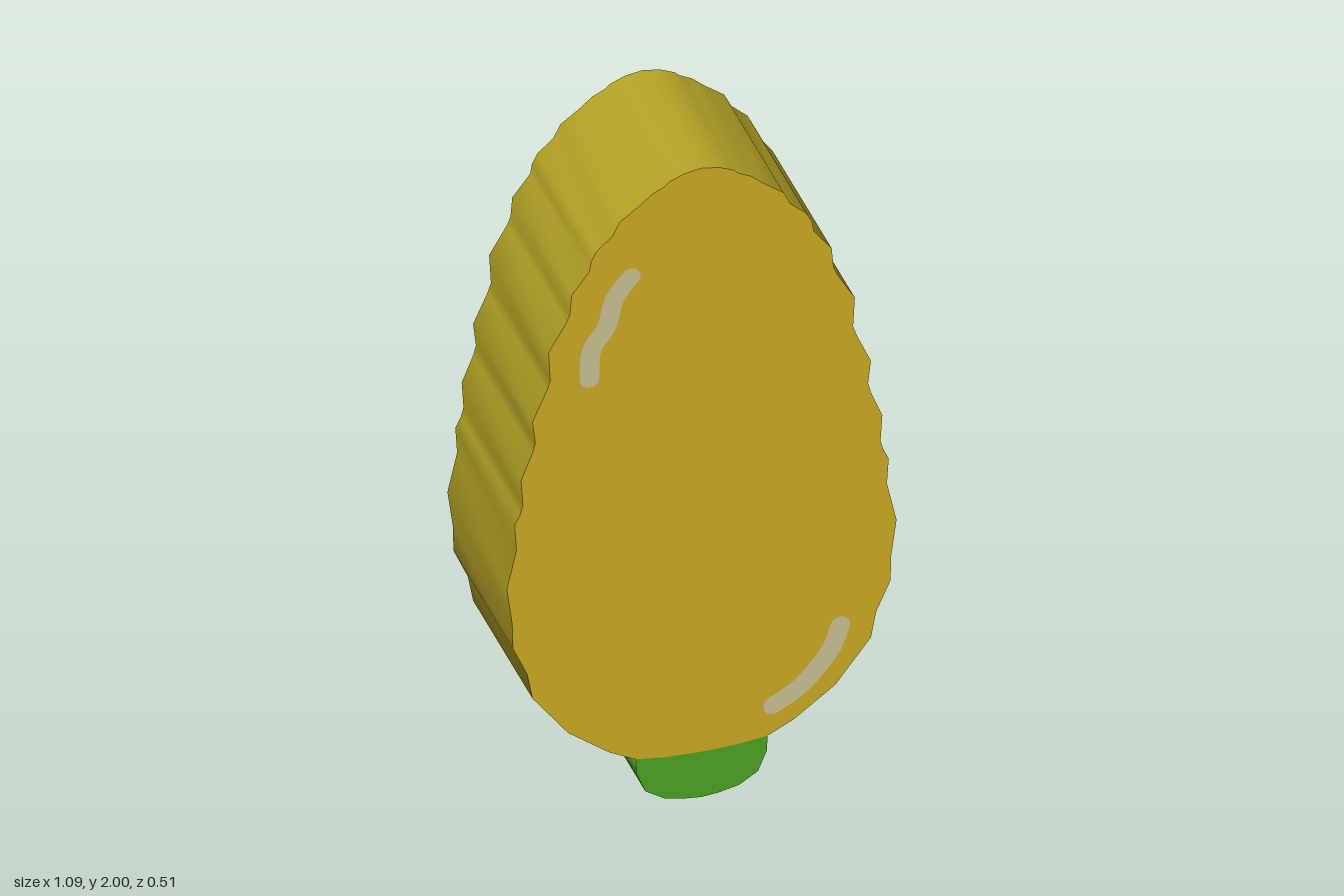
import * as THREE from 'three';

const HALF = 0.252; // half of the slab depth

const mat = (name, color) => {
  const m = new THREE.MeshStandardMaterial({ color });
  m.name = name;
  return m;
};

// Closed outline from a right half: down the right side, back up the left
function mirrorOutline(half) {
  const left = half.filter(([x]) => x > 0).reverse().map(([x, y]) => [-x, y]);
  return [...half, ...left].reverse().map(([x, y]) => new THREE.Vector2(x, y)); // counter-clockwise
}

// Smooth-shaded band running round a counter-clockwise outline
function wallGeometry(points) {
  const pos = [], index = [], n = points.length;
  points.forEach((p) => pos.push(p.x, p.y, HALF, p.x, p.y, -HALF));
  for (let i = 0; i < n; i++) {
    const a = 2 * i, b = 2 * ((i + 1) % n);
    index.push(a, a + 1, b, b, a + 1, b + 1);
  }
  const g = new THREE.BufferGeometry();
  g.setAttribute('position', new THREE.Float32BufferAttribute(pos, 3));
  g.setIndex(index);
  g.computeVertexNormals();
  return g;
}

// Round-ended brush stroke following a curve
function strokeShape(path, r) {
  const curve = new THREE.SplineCurve(path.map(([x, y]) => new THREE.Vector2(x, y)));
  const N = 16, left = [], right = [];
  for (let i = 0; i <= N; i++) {
    const p = curve.getPoint(i / N), t = curve.getTangent(i / N);
    left.push(new THREE.Vector2(p.x - t.y * r, p.y + t.x * r));
    right.push(new THREE.Vector2(p.x + t.y * r, p.y - t.x * r));
  }
  const cap = (u, start) => {
    const p = curve.getPoint(u), t = curve.getTangent(u);
    const a0 = Math.atan2(t.y, t.x) + start, out = [];
    for (let k = 1; k < 8; k++) {
      const a = a0 + (Math.PI * k) / 8;
      out.push(new THREE.Vector2(p.x + r * Math.cos(a), p.y + r * Math.sin(a)));
    }
    return out;
  };
  return new THREE.Shape([...right, ...cap(1, -Math.PI / 2), ...left.reverse(), ...cap(0, Math.PI / 2)]);
}

export function createModel() {
  const model = new THREE.Group();
  const yellow = mat('golden yellow', 0xc9ab22);
  const olive = mat('olive yellow', 0xb8a726);
  const green = mat('leaf green', 0x4aa422);
  const shine = mat('pale shine', 0xcac196);

  const add = (parent, name, geometry, material) => {
    const mesh = new THREE.Mesh(geometry, material);
    mesh.name = name;
    parent.add(mesh);
    return mesh;
  };

  // Scalloped egg-shaped body
  const body = mirrorOutline([
    [0, 2], [0.05, 1.992], [0.09, 1.975], [0.105, 1.962], [0.14, 1.945], [0.175, 1.915],
    [0.23, 1.875], [0.25, 1.835], [0.295, 1.795], [0.31, 1.765], [0.315, 1.735],
    [0.365, 1.67], [0.37, 1.61], [0.38, 1.585], [0.43, 1.5], [0.425, 1.41],
    [0.435, 1.38], [0.475, 1.29], [0.467, 1.22], [0.475, 1.19], [0.507, 1.11],
    [0.502, 1.03], [0.51, 1.0], [0.525, 0.97], [0.52, 0.89], [0.547, 0.77],
    [0.532, 0.66], [0.53, 0.58], [0.49, 0.49], [0.475, 0.41], [0.375, 0.28],
    [0.26, 0.195], [0.185, 0.157], [0.1, 0.147], [0, 0.144],
  ]);

  // Rounded stem stub whose top follows the bottom of the body
  const stem = mirrorOutline([
    [0, 0.144], [0.1, 0.147], [0.185, 0.157], [0.183, 0.11], [0.158, 0.05],
    [0.105, 0.017], [0.05, 0.005], [0, 0],
  ].filter(([x, y]) => x > 0 || y === 0));

  add(model, 'bodyRim', wallGeometry(body), olive);
  add(model, 'stemRim', wallGeometry(stem), green);

  // Front and back carry the same faces and shine strokes
  const shines = {
    upperShine: [[-0.2, 1.695], [-0.245, 1.635], [-0.268, 1.55], [-0.31, 1.485], [-0.315, 1.395]],
    lowerShine: [[0.388, 0.468], [0.36, 0.395], [0.285, 0.305], [0.2, 0.252]],
  };
  ['front', 'back'].forEach((side, i) => {
    const face = new THREE.Group();
    face.name = side + 'Face';
    face.rotation.y = i * Math.PI;
    add(face, side + 'BodyFace', new THREE.ShapeGeometry(new THREE.Shape(body)), yellow).position.z = HALF;
    add(face, side + 'StemFace', new THREE.ShapeGeometry(new THREE.Shape(stem)), green).position.z = HALF;
    for (const [name, path] of Object.entries(shines)) {
      add(face, side + name, new THREE.ShapeGeometry(strokeShape(path, 0.028)), shine).position.z = HALF + 0.002;
    }
    model.add(face);
  });

  return model;
}
